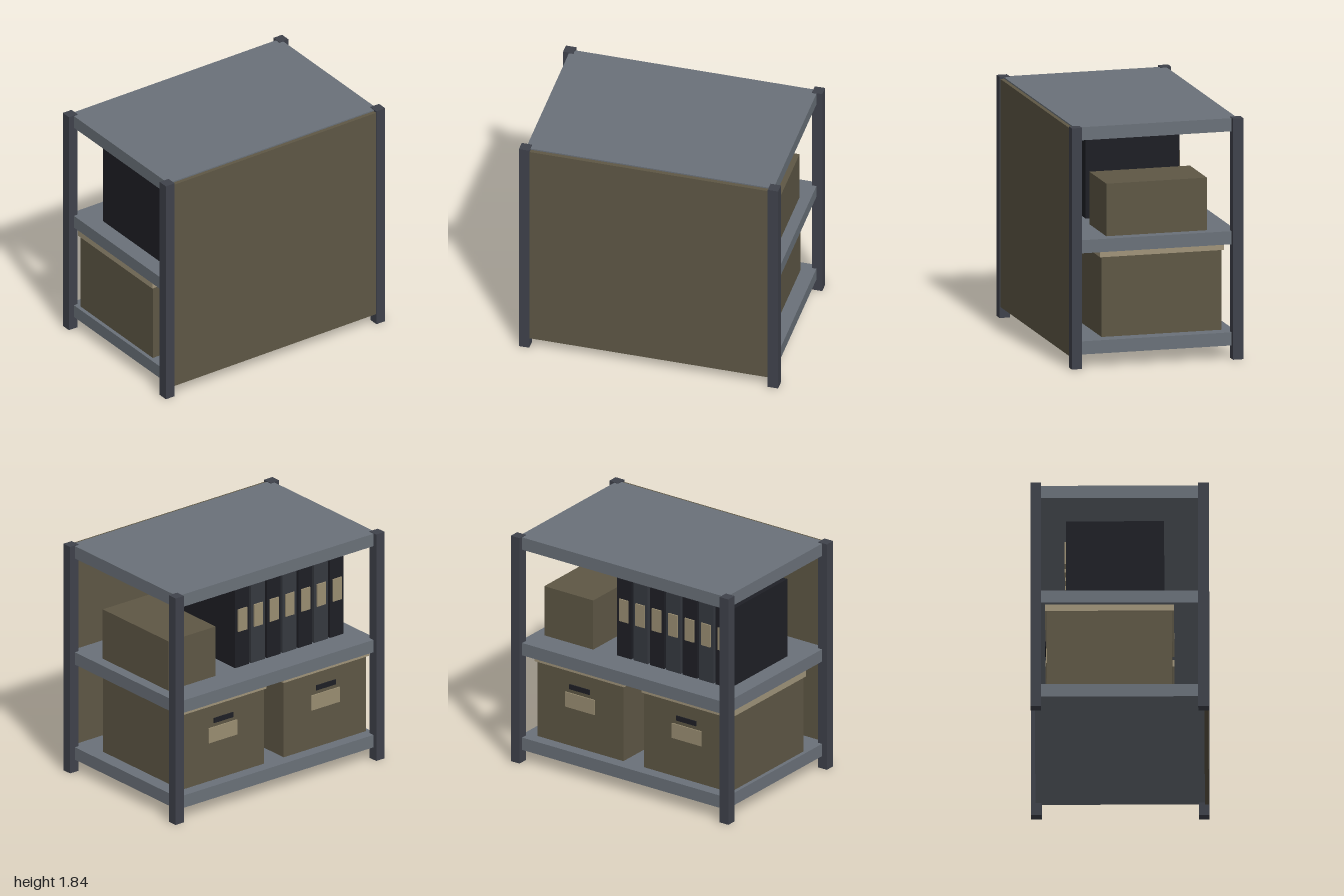
import * as THREE from 'three';

const material = (color) => new THREE.MeshStandardMaterial({ color });
const steel = material(0x6a7179);
const frame = material(0x3f424b);
const cardboard = material(0x5e5745);
const lidCard = material(0xa0947a);
const paper = material(0x9a8e72);
const black = material(0x1e1f25);
const charcoal = material(0x363940);

// Box given by its extents on each axis: [min, max]
function block(parent, name, mat, [x0, x1], [y0, y1], [z0, z1]) {
  const mesh = new THREE.Mesh(new THREE.BoxGeometry(x1 - x0, y1 - y0, z1 - z0), mat);
  mesh.position.set((x0 + x1) / 2, (y0 + y1) / 2, (z0 + z1) / 2);
  mesh.name = name;
  parent.add(mesh);
  return mesh;
}

// Lidded storage box with a hand slot and a paper label on its -z side
function storageBox(cx) {
  const box = new THREE.Group();
  box.name = 'storageBox';
  block(box, 'boxBody', cardboard, [-0.395, 0.395], [0.2, 0.81], [-0.54, 0.39]);
  block(box, 'boxLid', lidCard, [-0.41, 0.41], [0.81, 0.86], [-0.555, 0.405]);
  block(box, 'handSlot', black, [-0.092, 0.092], [0.665, 0.705], [-0.556, -0.549]);
  block(box, 'boxLabel', paper, [-0.135, 0.135], [0.51, 0.63], [-0.549, -0.54]);
  box.position.x = cx;
  return box;
}

// Upright ring binder with a spine label
function binder(cx, mat) {
  const group = new THREE.Group();
  group.name = 'binder';
  block(group, 'binderBody', mat, [-0.066, 0.066], [0.97, 1.6], [-0.4, 0.33]);
  block(group, 'spineLabel', paper, [-0.042, 0.042], [1.26, 1.44], [-0.41, -0.4]);
  group.position.x = cx;
  return group;
}

export function createModel() {
  const model = new THREE.Group();
  model.name = 'storageShelf';

  // Corner posts
  for (const x of [-0.96, 0.96]) {
    for (const z of [-0.625, 0.625]) {
      block(model, 'cornerPost', frame, [x - 0.04, x + 0.04], [0, 1.835], [z - 0.04, z + 0.04]);
    }
  }

  // Shelves
  for (const y of [0.1, 0.87, 1.73]) {
    block(model, 'shelf', steel, [-0.955, 0.955], [y, y + 0.1], [-0.632, 0.63]);
  }

  // Closing panel between the front posts
  block(model, 'frontPanel', cardboard, [-0.92, 0.92], [0.085, 1.82], [0.63, 0.66]);

  // Lower shelf: two lidded boxes
  for (const x of [0.45, -0.53]) model.add(storageBox(x));

  // Middle shelf: plain carton and a row of binders
  block(model, 'carton', cardboard, [0.42, 0.87], [0.97, 1.37], [-0.42, 0.36]);
  for (let i = 0; i < 7; i++) {
    model.add(binder(0.15 - i * 0.151, i % 2 ? charcoal : black));
  }

  return model;
}
